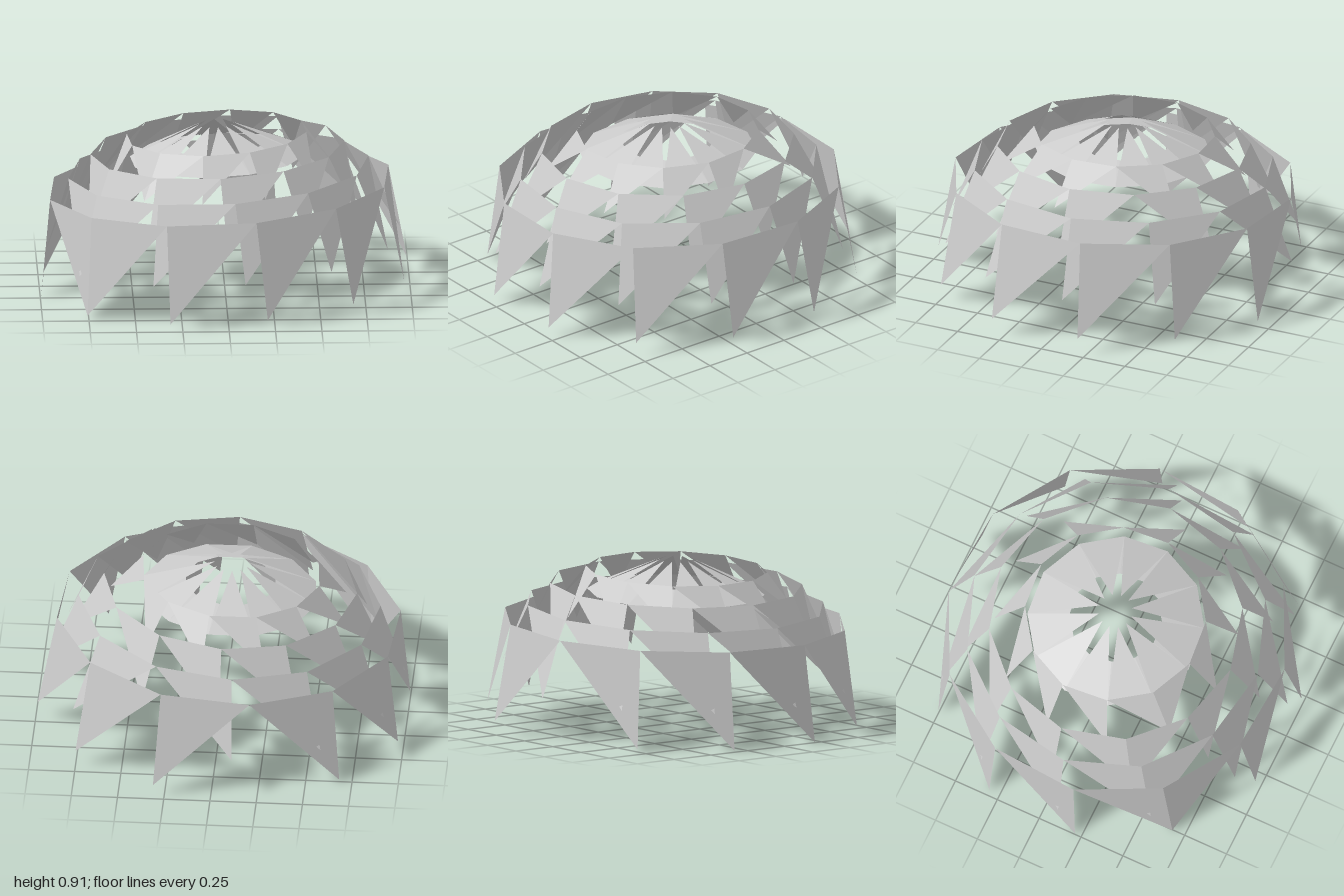
import * as THREE from 'three';

const material = new THREE.MeshStandardMaterial({
  color: 0xcccccc, flatShading: true, side: THREE.DoubleSide,
});

const SIDES = 12;
const STEP = 360 / SIDES;

// Point on a horizontal circle; the angle is in degrees from +x towards +z
function polar([radius, y], degrees) {
  const a = THREE.MathUtils.degToRad(degrees);
  return new THREE.Vector3(radius * Math.cos(a), y, radius * Math.sin(a));
}

// Mesh made from a flat list of corner points, three per face
function faces(name, points) {
  const geometry = new THREE.BufferGeometry().setFromPoints(points);
  geometry.computeVertexNormals();
  const mesh = new THREE.Mesh(geometry, material);
  mesh.name = name;
  return mesh;
}

// Ring of hanging pointed flaps. Each flap hangs below one ring corner and
// reaches to the next; the flaps run both ways from the folded one at corner 0
// and meet at the corner "gap", which has no point.
function flapTier({ name, phase, gap, top, tip }) {
  const points = [];
  const flap = (i, next) => {
    const tri = [
      polar(top, phase - i * STEP),
      polar(top, phase - next * STEP),
      polar(tip, phase - i * STEP - 1),
    ];
    if (next > i) tri.reverse();
    points.push(...tri);
  };
  for (let i = 0; i < gap; i++) flap(i, i + 1);
  for (let i = SIDES; i > gap; i--) flap(i, i - 1);
  return faces(name, points);
}

export function createModel() {
  const group = new THREE.Group();
  group.name = 'layeredDome';

  // Hanging tiers, lowest first; top and tip are [radius, height]
  const tiers = [
    { name: 'lowerTier', phase: 139, gap: 8, top: [0.935, 0.58], tip: [1.015, 0.055] },
    { name: 'secondTier', phase: 145, gap: 7, top: [0.815, 0.665], tip: [0.97, 0.25] },
    { name: 'thirdTier', phase: 150, gap: 6, top: [0.685, 0.775], tip: [0.845, 0.44] },
    { name: 'upperTier', phase: 130, gap: 5, top: [0.49, 0.855], tip: [0.66, 0.63] },
  ];
  tiers.forEach((tier) => group.add(flapTier(tier)));

  // Crown, sunk inside the upper tier: a sloping band under a ring of long
  // spikes that rise towards a star-shaped opening
  const outer = [0.48, 0.73], inner = [0.25, 0.79], peak = [0.09, 0.91];
  const band = [], spikes = [];
  for (let i = 0; i < SIDES; i++) {
    const a = 130 - i * STEP, b = a - STEP;
    band.push(polar(outer, b), polar(outer, a), polar(inner, a));
    band.push(polar(outer, b), polar(inner, a), polar(inner, b));
    spikes.push(polar(outer, b), polar(outer, a), polar(peak, a - STEP / 2));
  }
  group.add(faces('crownBand', band), faces('crownSpikes', spikes));

  // The whole dome leans slightly to one side
  group.rotation.z = 0.05;
  const model = new THREE.Group();
  model.name = 'dome';
  model.add(group);
  return model;
}
